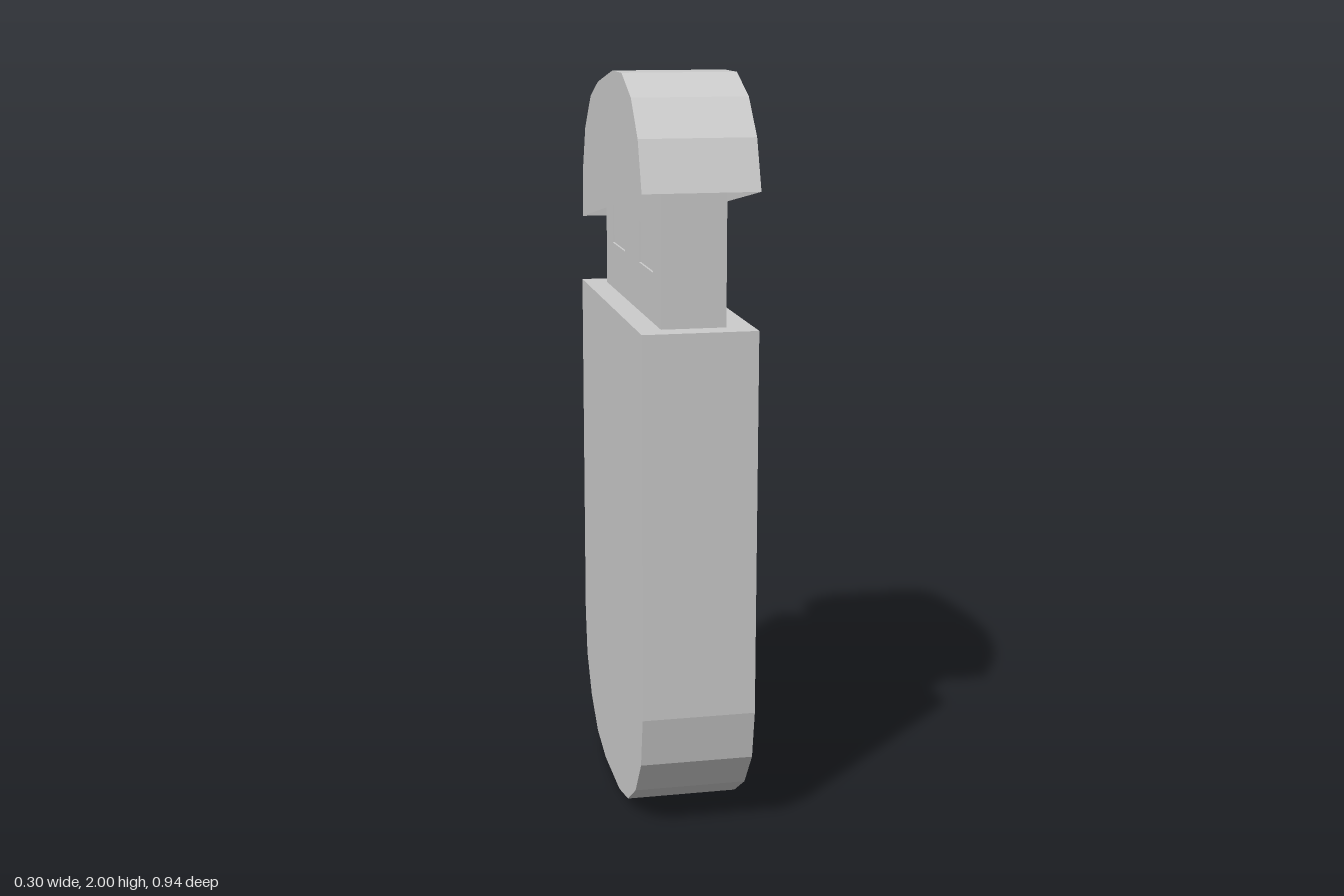
import * as THREE from 'three';

const material = new THREE.MeshStandardMaterial({ color: 0xcccccc, flatShading: true });
const openMaterial = new THREE.MeshStandardMaterial({ color: 0xcccccc, flatShading: true, side: THREE.DoubleSide });
const HALF_WIDTH = 0.151;

// Profiles are [z, y] pairs; they are drawn in a plane that is then turned to face +x
const bodyProfile = [
  [0.465, 1.37], [0.465, 0.345], [0.44, 0.21], [0.36, 0.105], [0.245, 0.03], [0.11, 0],
  [-0.12, 0], [-0.26, 0.03], [-0.37, 0.105], [-0.445, 0.21], [-0.47, 0.345], [-0.47, 1.37],
];
const capProfile = [
  [0.47, 1.72], [0.42, 1.85], [0.33, 1.945], [0.2, 2], [0.065, 2],
  [-0.165, 1.96], [-0.29, 1.915], [-0.39, 1.82], [-0.44, 1.695], [-0.445, 1.56],
];
const toPoints = (profile) => profile.map(([z, y]) => new THREE.Vector2(-z, y));
const rectangle = (z0, z1, y0, y1) => toPoints([[z0, y0], [z1, y0], [z1, y1], [z0, y1]]);

// Slab with the given outline, spanning x0 to x1
function slab(points, x0, x1, holes = []) {
  const shape = new THREE.Shape(points);
  holes.forEach((hole) => shape.holes.push(new THREE.Path(hole)));
  const geometry = new THREE.ExtrudeGeometry(shape, { depth: x1 - x0, bevelEnabled: false });
  return geometry.translate(0, 0, x0).rotateY(Math.PI / 2);
}

function addMesh(parent, name, geometry, mat = material) {
  const mesh = new THREE.Mesh(geometry, mat);
  mesh.name = name;
  parent.add(mesh);
}

// Open-bottomed cap: a faceted band over the top and two flat cheeks
function createCap() {
  const cap = new THREE.Group();
  cap.name = 'cap';
  const points = toPoints(capProfile);
  const band = new THREE.PlaneGeometry(1, 1, points.length - 1, 1);
  const position = band.attributes.position;
  for (let i = 0; i < position.count; i++) {
    const p = points[i % points.length];
    position.setXYZ(i, p.x, p.y, i < points.length ? -HALF_WIDTH : HALF_WIDTH);
  }
  const facets = band.toNonIndexed();
  facets.computeVertexNormals();
  addMesh(cap, 'capBand', facets.rotateY(Math.PI / 2), openMaterial);
  for (const side of [-1, 1]) {
    const cheek = new THREE.ShapeGeometry(new THREE.Shape(points));
    if (side < 0) cheek.scale(-1, 1, 1).rotateY(Math.PI); // outward-facing on the right
    cheek.translate(0, 0, side * HALF_WIDTH).rotateY(Math.PI / 2);
    addMesh(cap, side > 0 ? 'leftCheek' : 'rightCheek', cheek, openMaterial);
  }
  return cap;
}

// Connector: a core between two thin plates, each with two window recesses
function createConnector() {
  const connector = new THREE.Group();
  connector.name = 'connector';
  const outline = rectangle(0.4, -0.4, 1.36, 1.72);
  const windows = [0.2, -0.2].map((z) => rectangle(z + 0.1, z - 0.1, 1.5, 1.61));
  const x0 = -0.089, x1 = 0.081, recess = 0.006;
  addMesh(connector, 'connectorCore', slab(outline, x0 + recess, x1 - recess));
  addMesh(connector, 'leftPlate', slab(outline, x1 - recess, x1, windows));
  addMesh(connector, 'rightPlate', slab(outline, x0, x0 + recess, windows));
  return connector;
}

export function createModel() {
  const model = new THREE.Group();
  model.name = 'memoryStick';
  addMesh(model, 'body', slab(toPoints(bodyProfile), -HALF_WIDTH, HALF_WIDTH));
  model.add(createConnector(), createCap());
  return model;
}
